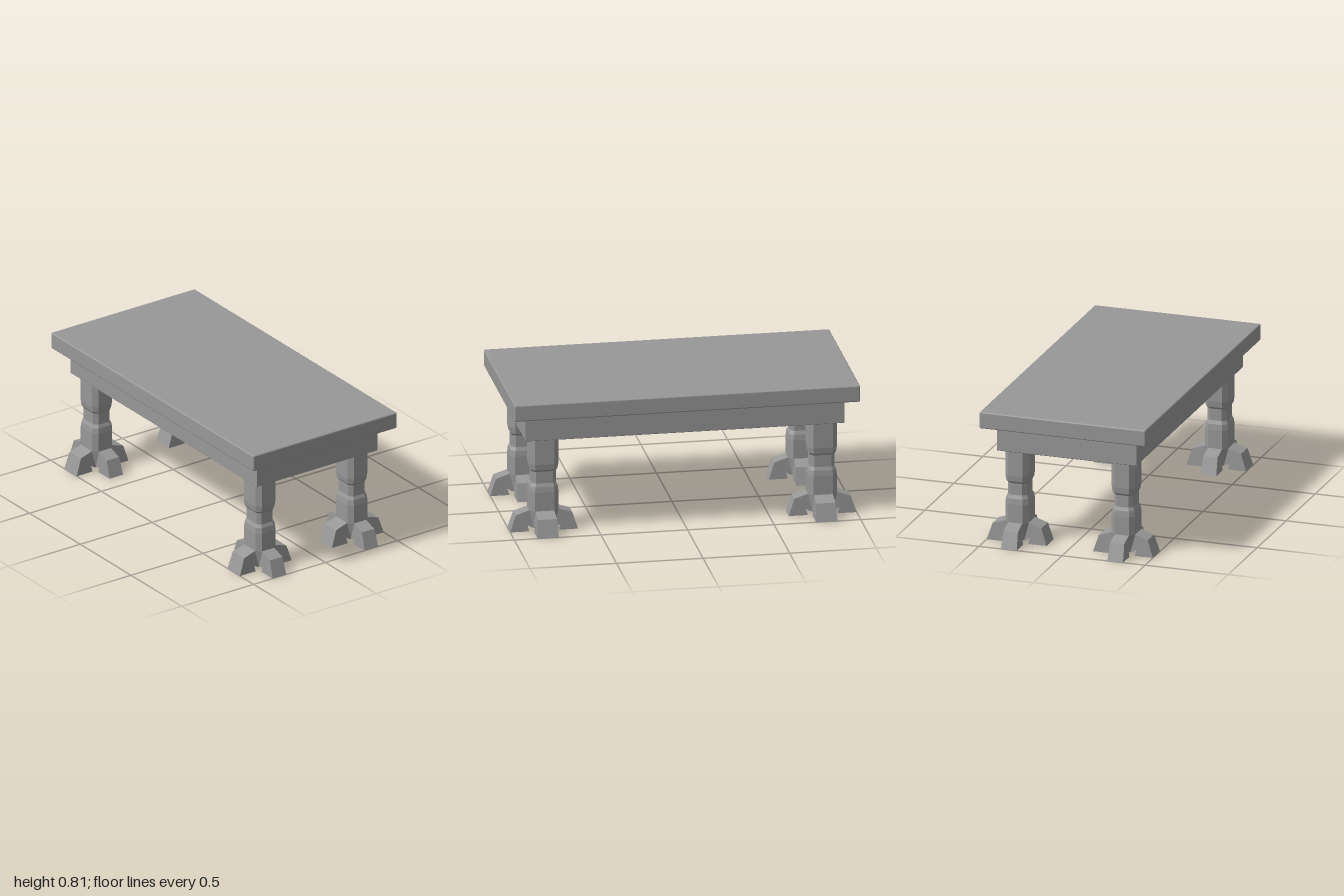
import * as THREE from 'three';
import { RoundedBoxGeometry } from 'three/addons/geometries/RoundedBoxGeometry.js';

const material = new THREE.MeshStandardMaterial({ color: 0x989898, flatShading: true });
const EXTRA = 0.013; // legs are this much deeper than wide, on each side
const CEILING = 0.66; // underside of the panel inside the apron

function addMesh(parent, geometry, name) {
  const mesh = new THREE.Mesh(geometry, material);
  mesh.name = name;
  parent.add(mesh);
  return mesh;
}

const rectangle = (PathType, x, z) => new PathType([
  new THREE.Vector2(-x, -z), new THREE.Vector2(x, -z),
  new THREE.Vector2(x, z), new THREE.Vector2(-x, z),
]);

// Rectangular post with chamfered corners, swelling and narrowing along its height
function postGeometry() {
  const profile = [
    [0, 0.022], [0.057, 0.022], [0.07, 0.125], [0.07, 0.235], [0.066, 0.268], [0.057, 0.288],
    [0.057, 0.358], [0.065, 0.37], [0.07, 0.405], [0.07, CEILING], [0, CEILING],
  ].map(([r, y]) => new THREE.Vector2(r, y));
  const c = 0.62;
  const corners = [[c, 1], [1, c], [1, -c], [c, -1], [-c, -1], [-1, -c], [-1, c], [-c, 1]];
  const geometry = new THREE.LatheGeometry(profile, 8);
  const position = geometry.attributes.position;
  for (let i = 0; i < position.count; i++) {
    const [u, v] = corners[Math.floor(i / profile.length) % 8];
    const r = profile[i % profile.length].x;
    position.setX(i, r * u);
    position.setZ(i, r * v + EXTRA * Math.sign(v));
  }
  return geometry;
}

// Bent toe pointing along +x, arched underneath and flaring towards the ground
function toeGeometry(shift, width) {
  const side = new THREE.Shape([
    [0.03, 0.125], [0.03, 0.022], [0.055, 0.022], [0.08, 0.037],
    [0.07, 0], [0.18, 0], [0.147, 0.1], [0.07, 0.125],
  ].map(([x, y]) => new THREE.Vector2(x + shift, y)));
  const geometry = new THREE.ExtrudeGeometry(side, { depth: width, bevelEnabled: false })
    .translate(0, 0, -width / 2);
  const position = geometry.attributes.position;
  for (let i = 0; i < position.count; i++) {
    position.setZ(i, position.getZ(i) * (1.1 - position.getY(i)));
  }
  return geometry;
}

export function createModel() {
  const table = new THREE.Group();
  table.name = 'table';

  // Top slab
  addMesh(table, new RoundedBoxGeometry(1, 0.098, 1.996, 2, 0.008), 'tableTop').position.y = 0.757;

  // Hollow apron under the slab, with a panel closing it part way up
  const frame = rectangle(THREE.Shape, 0.417, 0.917);
  frame.holes.push(rectangle(THREE.Path, 0.388, 0.888));
  const apron = new THREE.ExtrudeGeometry(frame, {
    depth: 0.146, bevelThickness: 0.003, bevelSize: 0.003, bevelSegments: 1,
  }).rotateX(-Math.PI / 2);
  addMesh(table, apron, 'apron').position.y = 0.562;
  const panel = new THREE.PlaneGeometry(0.78, 1.78).rotateX(Math.PI / 2);
  addMesh(table, panel, 'undersidePanel').position.y = CEILING;

  // Four legs, each with four toes
  const post = postGeometry();
  const sideToe = toeGeometry(0, 0.086 + 2 * EXTRA);
  const endToe = toeGeometry(0.016, 0.086);
  for (const x of [-0.32, 0.32]) {
    for (const z of [-0.804, 0.804]) {
      const leg = new THREE.Group();
      leg.name = `${z > 0 ? 'front' : 'back'}${x > 0 ? 'Left' : 'Right'}Leg`;
      leg.position.set(x, 0, z);
      addMesh(leg, post, 'post');
      for (let i = 0; i < 4; i++) {
        addMesh(leg, i % 2 ? endToe : sideToe, 'toe').rotation.y = i * Math.PI / 2;
      }
      table.add(leg);
    }
  }
  return table;
}
